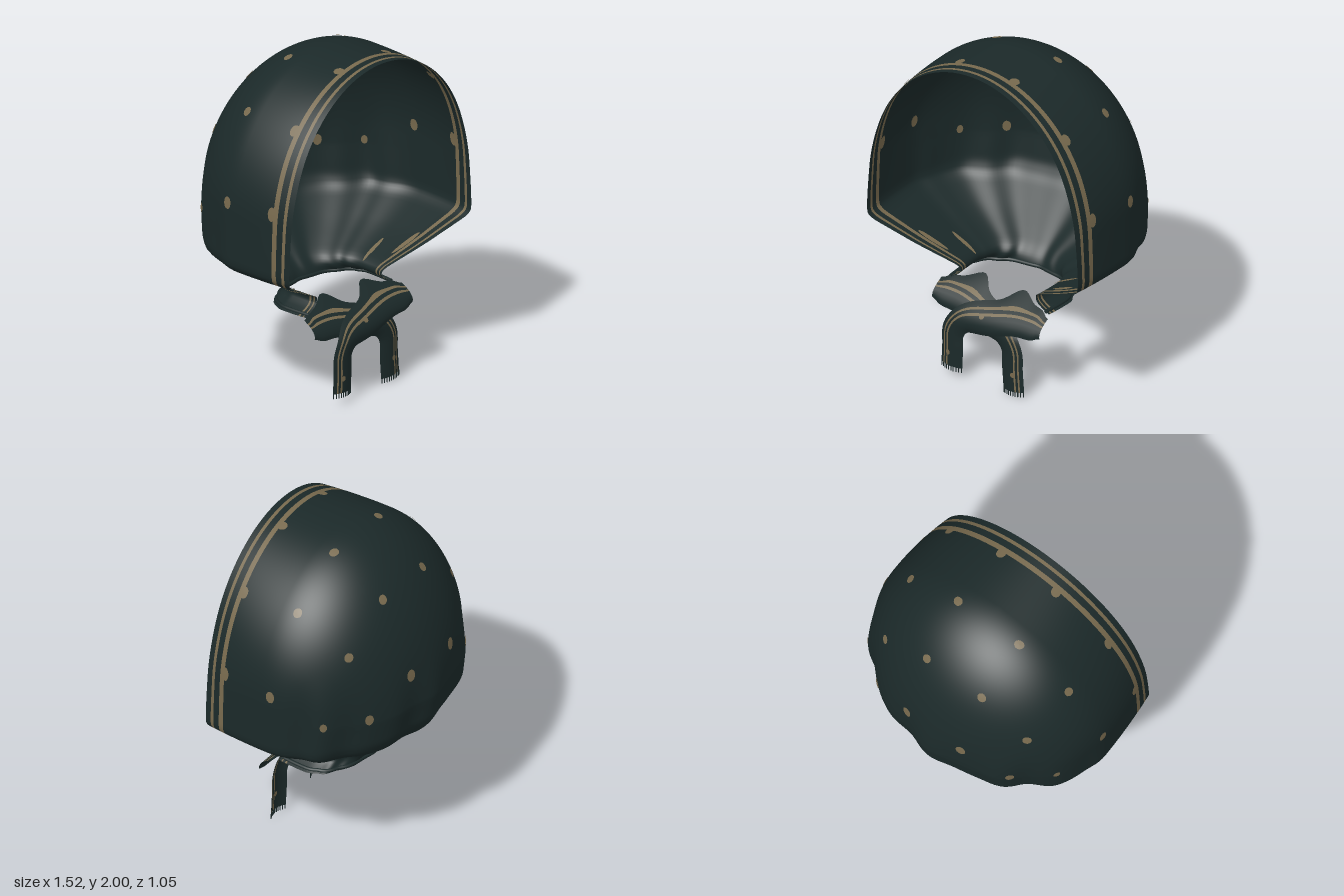
import * as THREE from 'three';
import { mergeVertices } from 'three/addons/utils/BufferGeometryUtils.js';

const { smoothstep } = THREE.MathUtils;
const cloth = new THREE.MeshStandardMaterial({ color: 0x1b2929, side: THREE.DoubleSide });
cloth.name = 'dark cloth';
const ochre = new THREE.MeshStandardMaterial({ color: 0x77694d, side: THREE.DoubleSide });
ochre.name = 'ochre print';

// Piecewise-linear lookup in [y, value] pairs, softened at the corners
function lerpTable(table, y) {
  for (let i = 1; i < table.length; i++) {
    const [y0, a] = table[i - 1], [y1, b] = table[i];
    if (y <= y1) return a + (b - a) * Math.max(0, (y - y0) / (y1 - y0));
  }
  return table[table.length - 1][1];
}
const soft = (t, y) => (lerpTable(t, y - 0.02) + lerpTable(t, y) + lerpTable(t, y + 0.02)) / 3;

// Hood measurements by height: half width, back depth, front rim z
const LOW_WIDTH = [[0.515, 0.39], [0.545, 0.28], [0.61, 0.26], [0.73, 0.5], [0.865, 0.74], [0.91, 0.755], [1.2, 0.755]];
const LOW_DEPTH = [[0.515, 0.21], [0.55, 0.22], [0.6, 0.26], [0.73, 0.415], [0.86, 0.57], [0.94, 0.615], [1.1, 0.64]];
const RIM = [[0.515, 0.29], [0.6, 0.28], [0.73, 0.4], [0.88, 0.52], [2, 0.52]];
const CENTRE_Z = 0.12;
const BOTTOM = -0.856;

const heightAt = v => (v > 0 ? 1.2 + 0.8 * Math.sin(v) : 1.2 + 0.8 * v);
const rowAt = y => (y > 1.2 ? Math.asin((y - 1.2) / 0.8) : (y - 1.2) / 0.8);
const widthAt = v => (v > 0 ? 0.755 * Math.cos(Math.min(v, Math.PI / 2)) : soft(LOW_WIDTH, heightAt(v)));
const depthAt = y => (y > 1.1 ? 0.64 * Math.sqrt(Math.max(0, 1 - ((y - 1.1) / 0.9) ** 2)) : soft(LOW_DEPTH, y));

// Point on the hood: s runs from one front rim (-1) round the back (0) to the other (1)
function hoodPoint(s, v) {
  const y = heightAt(v), a = Math.abs(s), W = widthAt(v);
  let x, z;
  if (a > 0.5) {
    const k = a * 2 - 1;
    x = W * (1 - (0.03 + 0.045 * smoothstep(y, 0.9, 1.5)) * k * k);
    z = CENTRE_Z + (soft(RIM, y) - CENTRE_Z) * k;
  } else {
    x = W * Math.sin(a * Math.PI);
    z = CENTRE_Z - depthAt(y) * Math.cos(a * Math.PI);
  }
  // gathered folds at the back that fade towards the crown and the sides
  const fade = smoothstep(1.45 - y, 0, 0.5) * (1 - smoothstep(a, 0.36, 0.5));
  const fold = 1 + fade * (0.018 * Math.cos(38 * s) + 0.006 * Math.sin(61 * s + 0.6));
  return new THREE.Vector3(Math.sign(s) * x * fold, y, CENTRE_Z + (z - CENTRE_Z) * fold);
}

// Grid surface from fn(u, v); columns whose middle passes isPrint use the second material
function sheet(us, vs, fn, isPrint = () => false) {
  const pos = [], plain = [], print = [], n = us.length;
  for (const v of vs) for (const u of us) pos.push(...fn(u, v).toArray());
  for (let j = 0; j < vs.length - 1; j++) {
    for (let i = 0; i < n - 1; i++) {
      const a = j * n + i, b = a + n;
      (isPrint((us[i] + us[i + 1]) / 2) ? print : plain).push(a, a + 1, b + 1, a, b + 1, b);
    }
  }
  let geo = new THREE.BufferGeometry();
  geo.setAttribute('position', new THREE.Float32BufferAttribute(pos, 3));
  geo.setIndex([...plain, ...print]);
  geo = mergeVertices(geo, 1e-5);
  geo.addGroup(0, plain.length, 0);
  geo.addGroup(plain.length, print.length, 1);
  geo.computeVertexNormals();
  return geo;
}

const range = (a, b, n) => Array.from({ length: n + 1 }, (_, i) => a + (b - a) * i / n);
function add(parent, name, geo, mat) {
  const mesh = new THREE.Mesh(geo, mat);
  mesh.name = name;
  parent.add(mesh);
  return mesh;
}

// Printed spots that follow a surface fn(u, v), one on each face of the cloth
function addSpot(parent, fn, u0, v0, ru, rv) {
  const e = 0.004, at = fn(u0, v0);
  const lu = fn(u0 + e, v0).distanceTo(at) / e;
  const lv = fn(u0, v0 + e).distanceTo(at) / e;
  for (const face of [1, -1]) {
    add(parent, 'spot', sheet(range(0, Math.PI * 2, 16), [0.001, 0.5, 1], (t, r) => {
      const u = u0 + Math.cos(t) * r * ru / lu, v = v0 + Math.sin(t) * r * rv / lv;
      const p = fn(u, v);
      const du = fn(u + e, v).sub(p), dv = fn(u, v + e).sub(p);
      return p.addScaledVector(dv.cross(du).normalize(), 0.005 * face);
    }), ochre);
  }
}

// Ribbon centre line in the front plane; depth curves back towards the neck
const leanZ = y => 0.437 - (y > 0.34 ? 3.5 * (y - 0.34) ** 2 : 0);
const hump = (t, mid, width) => Math.exp(-(((t - mid) / width) ** 2));
function addTie(parent, name, points, outer, lift) {
  const curve = new THREE.CatmullRomCurve3(points.map(([x, y]) => new THREE.Vector3(x, y, 0)));
  const us = [-1, -0.8, -0.6, -0.3, 0, 0.25, 0.4, 0.58, 0.71, 0.85, 1];
  const group = new THREE.Group();
  group.name = name;
  parent.add(group);
  const point = (w, t) => {
    const p = curve.getPoint(t), d = curve.getTangent(t);
    const half = 0.072 + 0.016 * hump(t, 0.35, 0.15) - 0.026 * hump(t, 0, 0.04);
    // pointed tab rising to the neck from the upper edge
    const tab = 0.045 * hump(t, 0.2, 0.06) * smoothstep(w, 0.6, 1);
    const off = w * half + tab;
    p.x += outer * d.y * off;
    p.y -= outer * d.x * off;
    p.z = leanZ(p.y) + lift - 0.02 * w * w;
    return p;
  };
  const isStripe = w => (w > 0.25 && w < 0.4) || (w > 0.58 && w < 0.71);
  add(group, name + 'Ribbon', sheet(us, range(0, 1, 54), point, isStripe), [cloth, ochre]);
  for (const t of [0.36, 0.87]) addSpot(group, point, 0.2, t, 0.014, 0.016);
  // fringe threads
  for (const w of range(-0.95, 0.95, 9)) {
    const thread = add(group, 'fringeThread', new THREE.BoxGeometry(0.004, 0.03, 0.004), cloth);
    thread.position.copy(point(w, 1));
    thread.position.y -= 0.012;
  }
}

export function createModel() {
  const model = new THREE.Group();
  model.name = 'headscarf';

  // Hood with two printed bands along the face rim
  const side = [1, 0.978, 0.956, 0.931, 0.905, 0.883, 0.865, 0.845];
  const us = [...side, ...range(0.825, -0.825, 150), ...side.map(s => -s).reverse()];
  const vs = [...range(BOTTOM, 0, 50), ...range(0, Math.PI / 2, 44).slice(1)];
  const isBand = s => {
    const a = Math.abs(s);
    return (a > 0.931 && a < 0.956) || (a > 0.845 && a < 0.883);
  };
  add(model, 'hood', sheet(us, vs, hoodPoint, isBand), [cloth, ochre]);

  // Printed spots: height, position round the hood, half width, half height
  const spots = new THREE.Group();
  spots.name = 'spots';
  model.add(spots);
  const layout = [
    [1.755, 0.113, 0.026, 0.028], [1.53, 0.252, 0.026, 0.027], [1.315, 0.08, 0.029, 0.037],
    [1.135, 0.206, 0.025, 0.033], [1.125, 0.325, 0.02, 0.026], [1.74, 0.435, 0.025, 0.028],
    [1.27, 0.475, 0.026, 0.036], [1.957, 0.33, 0.027, 0.027], [1.73, 0.835, 0.026, 0.034],
    [1.285, 0.835, 0.026, 0.042], [1.973, 0.83, 0.03, 0.028], [0.655, 0.525, 0.012, 0.1],
    [0.71, 0.82, 0.016, 0.1],
  ];
  for (const [y, s, rx, ry] of layout) {
    for (const mirror of [1, -1]) addSpot(spots, hoodPoint, s * mirror, rowAt(y), rx, ry);
  }

  // Rolled edge round the neck
  const hem = new THREE.CatmullRomCurve3(range(-1, 1, 40).map(s => hoodPoint(s, BOTTOM + 0.012)));
  add(model, 'neckHem', new THREE.TubeGeometry(hem, 80, 0.011, 8), cloth);

  // Crossed ties hanging in front
  addTie(model, 'upperTie', [[0.378, 0.465], [0.2, 0.46], [0.02, 0.42], [-0.14, 0.375],
    [-0.202, 0.29], [-0.207, 0.18], [-0.212, 0.07]], 1, 0.012);
  addTie(model, 'lowerTie', [[-0.382, 0.465], [-0.2, 0.46], [-0.03, 0.42], [0.12, 0.37],
    [0.183, 0.285], [0.19, 0.17], [0.2, 0.035]], -1, -0.012);
  return model;
}
